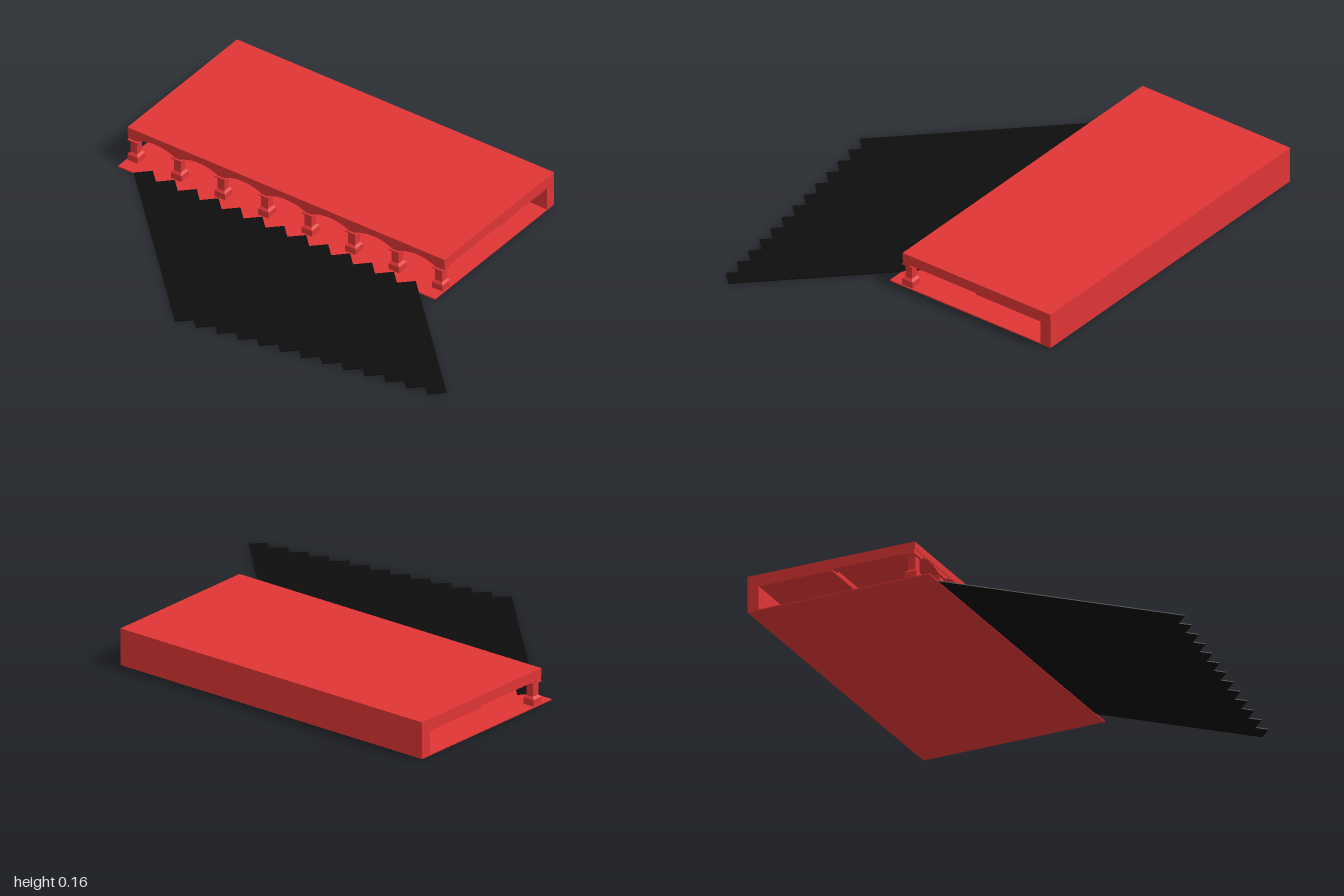
import * as THREE from 'three';

export function createModel() {
  const model = new THREE.Group();
  const red = new THREE.MeshStandardMaterial({ color: 0xe03535, flatShading: true });
  const black = new THREE.MeshStandardMaterial({ color: 0x0d0d0d, flatShading: true });

  // Box given by its minimum and maximum corners
  function box(name, [x0, y0, z0], [x1, y1, z1], parent = model) {
    const mesh = new THREE.Mesh(new THREE.BoxGeometry(x1 - x0, y1 - y0, z1 - z0), red);
    mesh.position.set((x0 + x1) / 2, (y0 + y1) / 2, (z0 + z1) / 2);
    mesh.name = name;
    parent.add(mesh);
    return mesh;
  }

  const back = -1, front = 0.58;
  const count = 8, firstZ = -0.97, pitch = 0.217;

  // Hall shell: floor, solid long wall, roof and lower ceiling
  box('floor', [-0.04, 0, back], [0.78, 0.005, front]);
  box('longWall', [0.73, 0.005, back], [0.78, 0.13, front]);
  box('roof', [0.025, 0.13, back], [0.78, 0.16, front]);
  box('lowerCeiling', [0.4, 0.108, back], [0.73, 0.13, front]);
  box('backEndBeam', [0.062, 0.115, back], [0.4, 0.13, back + 0.04]);
  box('frontEndBeam', [0.062, 0.115, front - 0.04], [0.4, 0.13, front]);

  // Inner row of square pillars
  for (let i = 1; i < count - 1; i++) {
    const z = firstZ + i * pitch;
    box('innerPillar', [0.4, 0.005, z - 0.027], [0.455, 0.108, z + 0.027]);
  }

  // Arcade fascia: a strip whose lower edge is a row of shallow arches
  const fascia = new THREE.Shape();
  fascia.moveTo(back, 0.13);
  fascia.lineTo(back, 0.108);
  for (let i = 0; i < count; i++) {
    const z = firstZ + i * pitch;
    fascia.lineTo(z + 0.018, 0.108);
    if (i < count - 1) {
      fascia.quadraticCurveTo(z + pitch / 2, 0.148, z + pitch - 0.018, 0.108);
    }
  }
  fascia.lineTo(front, 0.108);
  fascia.lineTo(front, 0.13);
  fascia.closePath();
  const fasciaGeo = new THREE.ExtrudeGeometry(fascia, { depth: 0.034, bevelEnabled: false, curveSegments: 10 });
  fasciaGeo.rotateY(-Math.PI / 2);
  fasciaGeo.translate(0.062, 0, 0);
  const arcade = new THREE.Mesh(fasciaGeo, red);
  arcade.name = 'arcadeFascia';
  model.add(arcade);

  // Columns: square base, chamfered collar, shaft and thin cap
  const collarGeo = new THREE.CylinderGeometry(0.017 * Math.SQRT2, 0.026 * Math.SQRT2, 0.01, 4);
  collarGeo.rotateY(Math.PI / 4);
  for (let i = 0; i < count; i++) {
    const column = new THREE.Group();
    column.name = 'column';
    column.position.set(0.045, 0, firstZ + i * pitch);
    box('columnBase', [-0.026, 0.005, -0.026], [0.026, 0.033, 0.026], column);
    const collar = new THREE.Mesh(collarGeo, red);
    collar.name = 'columnCollar';
    collar.position.y = 0.038;
    column.add(collar);
    box('columnShaft', [-0.017, 0.038, -0.017], [0.017, 0.108, 0.017], column);
    box('columnCap', [-0.026, 0.1, -0.026], [0.026, 0.105, 0.026], column);
    model.add(column);
  }

  // Diagonal paving: parallel strips with square ends that form saw-toothed edges
  const strips = 13, tooth = 0.0546;
  const paving = new THREE.Shape();
  for (let i = 0; i < strips; i++) {
    const z = -0.92 + i * 2 * tooth;
    if (i === 0) paving.moveTo(-0.04, -z);
    else paving.lineTo(-0.04, -z);
    paving.lineTo(-0.04 + tooth, -(z + tooth));
  }
  for (let i = strips - 1; i >= 0; i--) {
    const x = -0.782 + i * 0.0156, z = -0.178 + i * 0.0936;
    paving.lineTo(x + tooth, -(z + tooth));
    paving.lineTo(x, -z);
  }
  paving.closePath();
  const pavingGeo = new THREE.ExtrudeGeometry(paving, { depth: 0.004, bevelEnabled: false });
  pavingGeo.rotateX(-Math.PI / 2);
  pavingGeo.translate(0, 0.002, 0);
  const pavingMesh = new THREE.Mesh(pavingGeo, black);
  pavingMesh.name = 'diagonalPaving';
  model.add(pavingMesh);

  return model;
}
